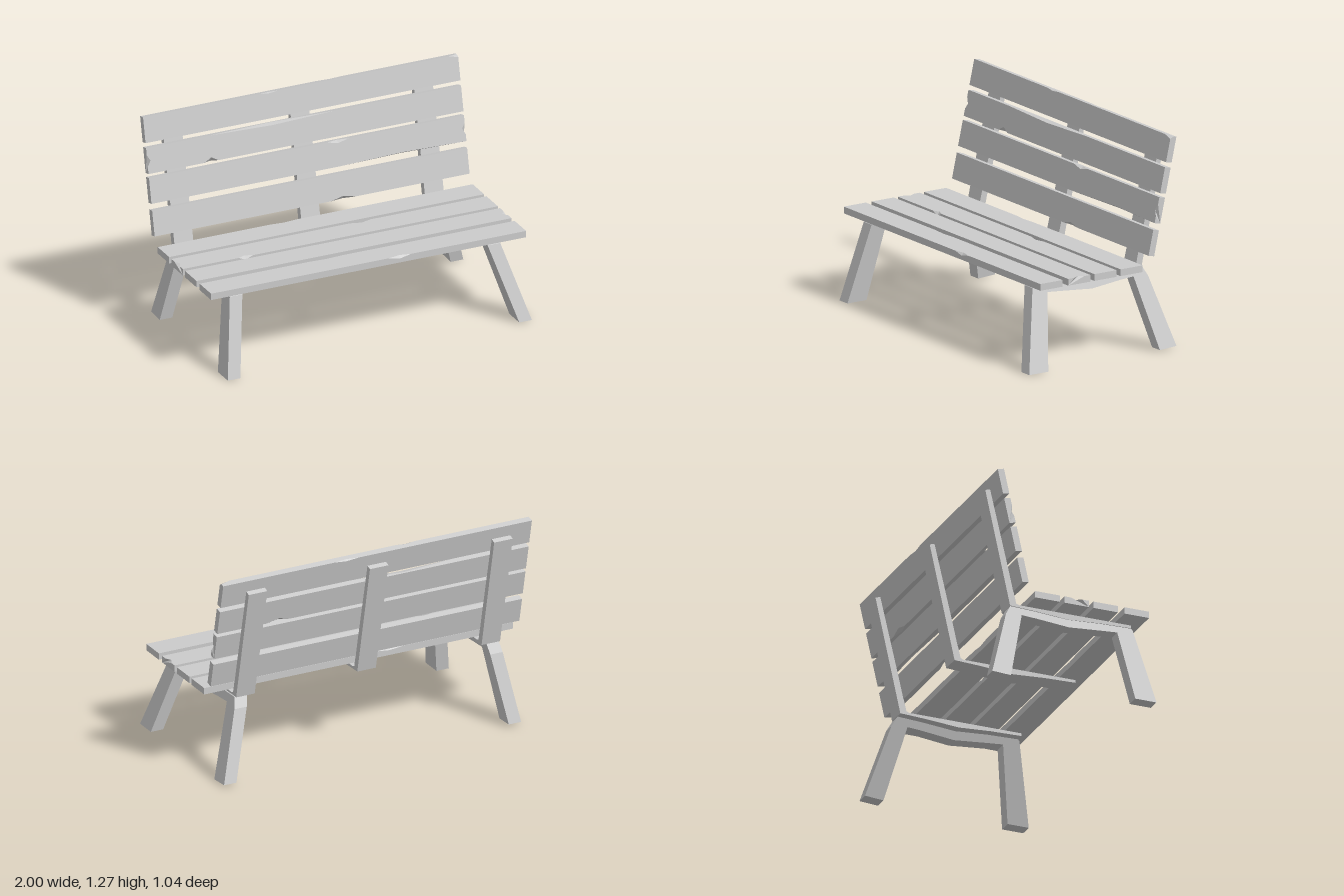
import * as THREE from 'three';

const material = new THREE.MeshStandardMaterial({ color: 0xcccccc, flatShading: true });
const HALF = 0.0765, THICK = 0.02; // half width and half thickness of a plank
const SIGNS = [[-1, -1], [1, -1], [1, 1], [-1, 1]];
const BACK_BOTTOM = 0, BACK_TOP = 1, TOP = 2, BOTTOM = 3; // plank edges, seen from its face

// Plank along x, facing +z. chips: [x, edge, depth, halfLength, cut through thickness];
// endNotch: -1 or 1 for a nick in that end.
function plankGeometry(chips, endNotch = 0) {
  const xs = new Set([-1, 1]);
  for (const [x, , , hw] of chips) [x - hw, x, x + hw].forEach(v => xs.add(Math.min(1, Math.max(-1, v))));
  const stations = [...xs].sort((a, b) => a - b);
  const pos = [], index = [];
  let n = 0;
  for (const x of stations) {
    const ring = [];
    SIGNS.forEach(([sv, sw], c) => {
      let dv = 0, dw = 0;
      for (const [cx, edge, depth, hw, cut] of chips) {
        if (edge !== c) continue;
        const k = Math.max(0, 1 - Math.abs(x - cx) / hw);
        dv += k * depth;
        dw += k * cut;
      }
      const alongV = [x, sv * (HALF - dv), sw * THICK];
      const alongW = [x, sv * HALF, sw * (THICK - dw)];
      ring.push(...(c % 2 ? [alongV, alongW] : [alongW, alongV]));
      if (c === TOP) {
        const nick = x === endNotch ? 0.02 * endNotch : 0;
        ring.push([x, 0.035, THICK], [x - nick, 0, THICK], [x, -0.035, THICK]);
      }
    });
    n = ring.length;
    pos.push(...ring.flat());
  }
  const last = (stations.length - 1) * n;
  for (let s = 0; s < last; s += n) {
    for (let j = 0; j < n; j++) {
      const a = s + j, b = s + (j + 1) % n;
      index.push(a, b, a + n, b, b + n, a + n);
    }
  }
  for (let j = 1; j < n - 1; j++) index.push(0, j + 1, j, last, last + j, last + j + 1);
  const g = new THREE.BufferGeometry();
  g.setAttribute('position', new THREE.Float32BufferAttribute(pos, 3));
  g.setIndex(index);
  const flat = g.toNonIndexed();
  flat.computeVertexNormals();
  return flat;
}

// Side profile given as [z, y] points, extruded across x and centred on x = 0
function profileGeometry(points, width) {
  const shape = new THREE.Shape(points.map(p => new THREE.Vector2(...p)));
  const g = new THREE.ExtrudeGeometry(shape, { depth: width, bevelEnabled: false });
  return g.translate(0, 0, -width / 2).rotateY(-Math.PI / 2);
}

export function createModel() {
  const bench = new THREE.Group();
  bench.name = 'bench';
  const add = (name, geometry, x = 0, y = 0, z = 0, tilt = 0) => {
    const mesh = new THREE.Mesh(geometry, material);
    mesh.name = name;
    mesh.position.set(x, y, z);
    mesh.rotation.x = tilt;
    bench.add(mesh);
  };

  // Seat planks, front to back
  const seat = [
    [0.367, [[0.2, BOTTOM, 0.015, 0.07, 0.015], [-0.2, TOP, 0.006, 0.1, 0.005]], 0],
    [0.173, [], 1],
    [-0.008, [[-0.6, BOTTOM, 0.018, 0.045, 0.02], [0.2, TOP, 0.018, 0.065, 0.02]], -1],
    [-0.19, [[-0.2, TOP, 0.008, 0.09, 0.01]], 0],
  ];
  for (const [z, chips, notch] of seat) {
    add('seatPlank', plankGeometry(chips, notch), 0, 0.51, z, -Math.PI / 2);
  }

  // Backrest planks, bottom to top
  const back = [
    [0.65, -0.343, [[0.2, BOTTOM, 0.018, 0.08, 0.02]], 0],
    [0.838, -0.385, [[0.2, TOP, 0.016, 0.07, 0.02], [0.6, BOTTOM, 0.01, 0.4, 0.03]], 1],
    [1.01, -0.424, [[-0.6, BOTTOM, 0.025, 0.045, 0.025], [-0.2, TOP, 0.012, 0.4, 0.03],
      [0.6, BACK_BOTTOM, 0.02, 0.08, 0.02]], -1],
    [1.188, -0.464, [[-0.2, TOP, 0.006, 0.06, 0.01], [1, TOP, 0.015, 0.06, 0.02],
      [0.2, BACK_TOP, 0.008, 0.08, 0.01]], 0],
  ];
  for (const [y, z, chips, notch] of back) {
    add('backPlank', plankGeometry(chips, notch), 0, y, z, -0.22);
  }

  // Three bent supports: a sagging seat bearer that turns up into a back post
  const support = [
    [0.39, 0.49], [-0.31, 0.49], [-0.327, 0.498], [-0.49, 1.19], [-0.52, 1.18],
    [-0.365, 0.478], [-0.2, 0.47], [0, 0.455], [0.2, 0.468], [0.39, 0.473],
  ];
  for (const x of [-0.805, 0, 0.785]) add('support', profileGeometry(support, 0.12), x);

  // Arched leg frames, splayed outwards below the seat
  const arch = [
    [0.52, 0], [0.4, 0.465], [0.38, 0.48], [0.2, 0.475], [0, 0.462], [-0.2, 0.475], [-0.36, 0.48],
    [-0.392, 0.42], [-0.503, 0.013], [-0.387, 0.006], [-0.293, 0.43], [-0.2, 0.424],
    [0, 0.405], [0.2, 0.422], [0.303, 0.43], [0.388, 0],
  ];
  for (const [name, x, splay] of [['leftLegFrame', 0.815, 0.309], ['rightLegFrame', -0.82, -0.15]]) {
    const g = profileGeometry(arch, 0.08);
    const p = g.attributes.position;
    for (let i = 0; i < p.count; i++) p.setX(i, p.getX(i) + splay * (0.47 - p.getY(i)));
    g.computeVertexNormals();
    add(name, g, x);
  }
  return bench;
}
